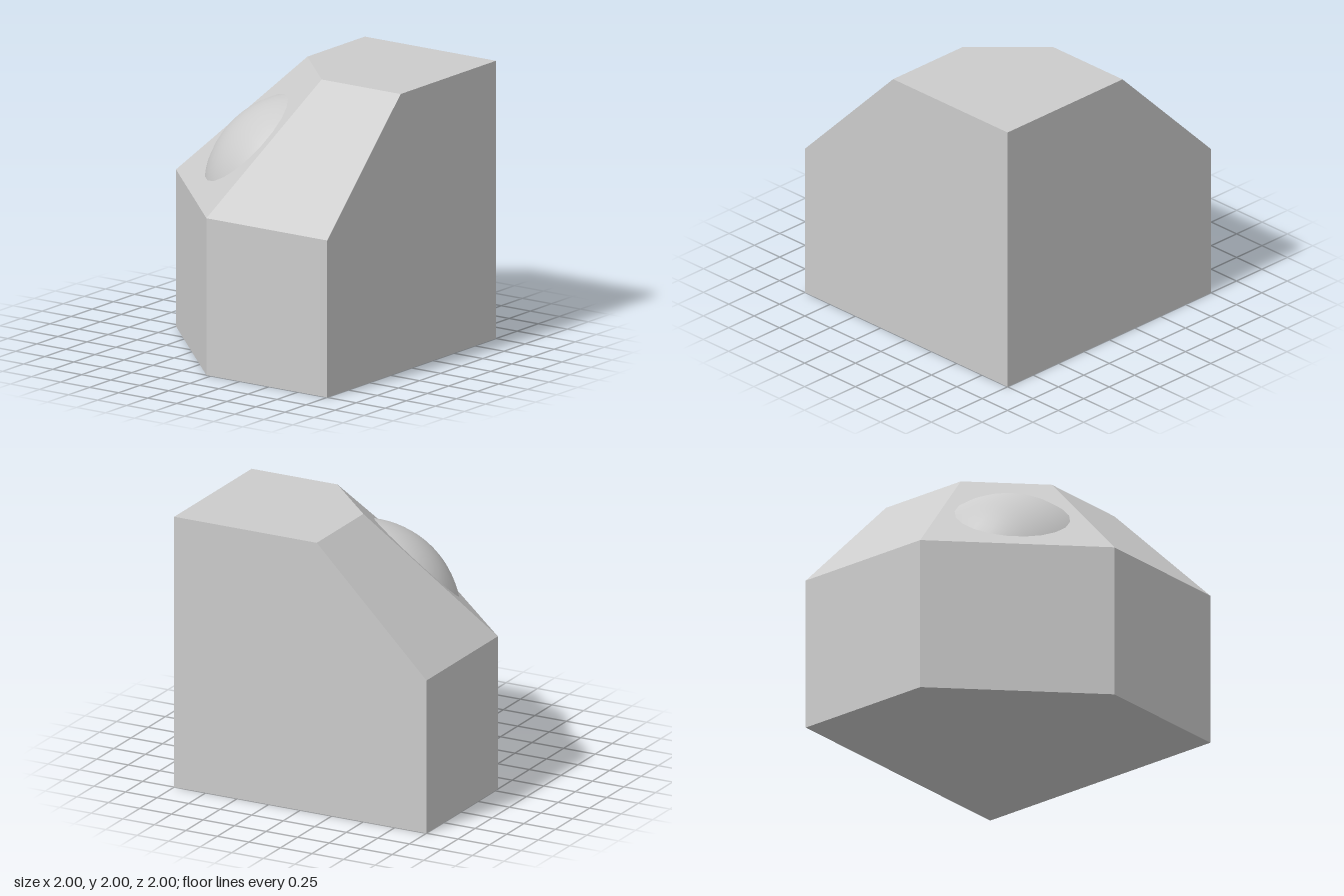
import * as THREE from 'three';
import { ConvexGeometry } from 'three/addons/geometries/ConvexGeometry.js';

export function createModel() {
  const model = new THREE.Group();
  model.name = 'bevelledBlockWithDome';
  const material = new THREE.MeshStandardMaterial({ color: 0xcccccc });

  // Block: a cube with one vertical corner and two top edges cut away.
  // It mirrors across the diagonal plane x = -z.
  const shoulder = 1.13, inset = 0.13, cut = 0.04, ridge = 0.32;
  const corners = [];
  const add = (x, y, z) => corners.push(new THREE.Vector3(x, y, z));
  const addPair = (x, y, z) => { add(x, y, z); add(-z, y, -x); };
  add(1, 0, -1);
  addPair(1, 0, 1);
  addPair(-cut, 0, 1);
  addPair(1, shoulder, 1);
  addPair(-cut, shoulder, 1);
  add(1, 2, -1);
  addPair(1, 2, inset);
  addPair(ridge, 2, inset);
  const block = new THREE.Mesh(new ConvexGeometry(corners), material);
  block.name = 'block';
  model.add(block);

  // Dome: a shallow spherical cap sitting on the sloping corner face
  const rim = 0.405, radius = 0.7;
  const angle = Math.asin(rim / radius);
  const capGeometry = new THREE.SphereGeometry(radius, 20, 8, 0, Math.PI * 2, 0, angle);
  capGeometry.translate(0, -radius * Math.cos(angle), 0);
  const dome = new THREE.Mesh(capGeometry, material);
  dome.name = 'dome';
  const normal = new THREE.Vector3(-0.5, Math.SQRT1_2, 0.5);
  dome.quaternion.setFromUnitVectors(new THREE.Vector3(0, 1, 0), normal);
  dome.position.set(-0.245, 1.52, 0.245);
  model.add(dome);

  return model;
}
